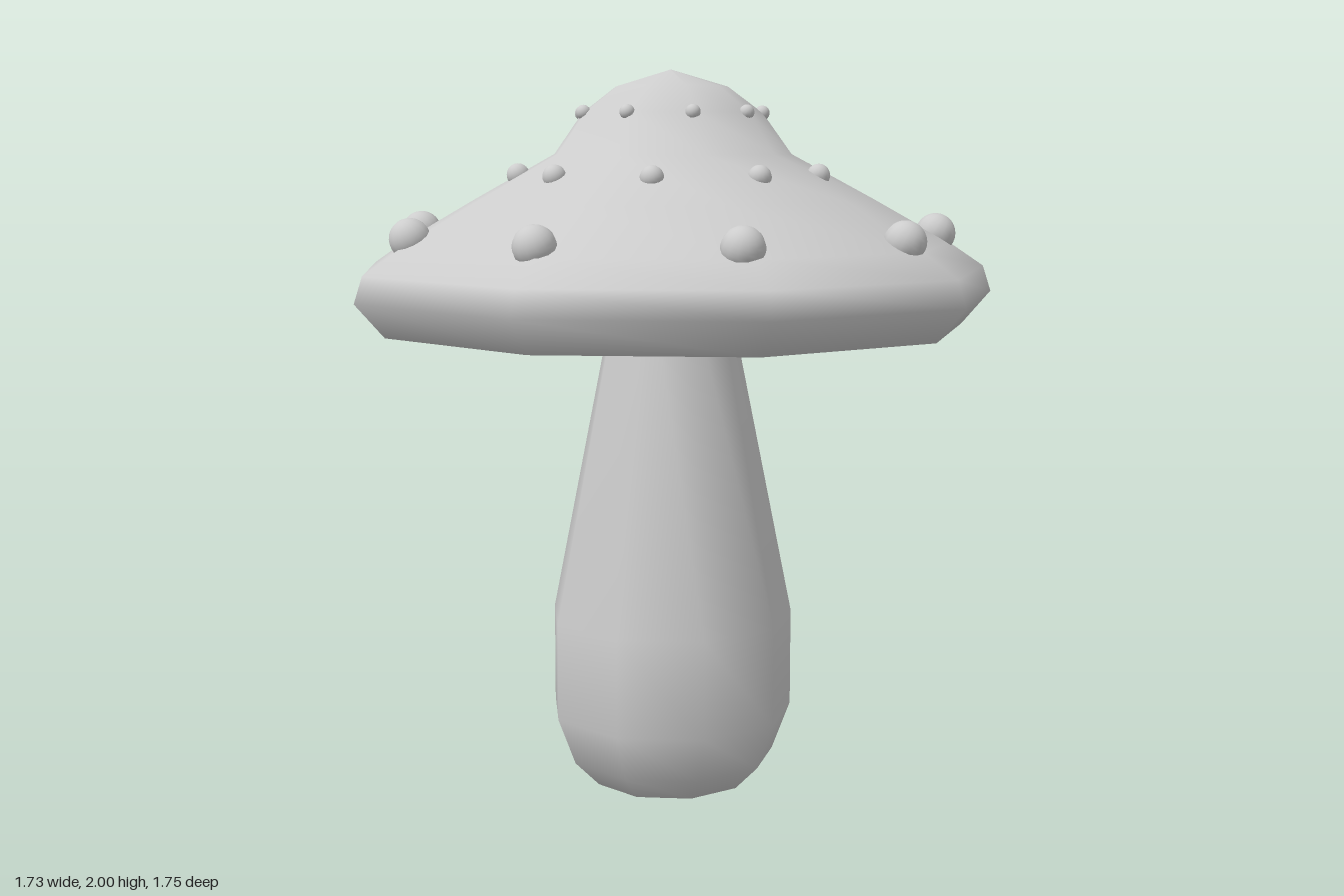
import * as THREE from 'three';

const SIDES = 9;
const PHASE = THREE.MathUtils.degToRad(71.5);
const CENTRE_X = 0.02;

// Nine-sided smooth shell turned from [radius, height] pairs
function turned(name, profile, material) {
  const points = profile.map(([r, y]) => new THREE.Vector2(r, y));
  const mesh = new THREE.Mesh(new THREE.LatheGeometry(points, SIDES, PHASE), material);
  mesh.name = name;
  mesh.position.x = CENTRE_X;
  return mesh;
}

// Ring of domes sitting on the cap, tilted outward by the local slope
function spotRing(name, { ring, y, size, tilt, start }, material) {
  const group = new THREE.Group();
  group.name = name;
  group.position.x = CENTRE_X;
  const dome = new THREE.SphereGeometry(size, 14, 8, 0, Math.PI * 2, 0, Math.PI * 0.55);
  const up = new THREE.Vector3(0, 1, 0);
  for (let i = 0; i < SIDES; i++) {
    const a = start + (i / SIDES) * Math.PI * 2;
    const normal = new THREE.Vector3(Math.cos(a) * Math.sin(tilt), Math.cos(tilt), Math.sin(a) * Math.sin(tilt));
    const spot = new THREE.Mesh(dome, material);
    spot.name = 'spot';
    spot.position.set(Math.cos(a) * ring, y, Math.sin(a) * ring - 0.005);
    spot.quaternion.setFromUnitVectors(up, normal);
    group.add(spot);
  }
  return group;
}

export function createModel() {
  const model = new THREE.Group();
  model.name = 'mushroom';
  const grey = new THREE.MeshStandardMaterial({ color: 0xcccccc, side: THREE.DoubleSide });
  grey.name = 'pale grey';

  // Stem: open tube with a rounded foot, reaching up inside the cap
  model.add(turned('stem', [
    [0.115, 0], [0.22, 0.035], [0.29, 0.105], [0.34, 0.235], [0.34, 0.505], [0.143, 1.48],
  ], grey));

  // Cap: hollow shell with a turned-in lip
  model.add(turned('cap', [
    [0.65, 1.31], [0.81, 1.31], [0.89, 1.4], [0.867, 1.47], [0.77, 1.535],
    [0.56, 1.652], [0.33, 1.775], [0.25, 1.885], [0.155, 1.955], [0, 2],
  ], grey));

  // Three rings of spots, growing toward the rim
  model.add(spotRing('largeSpots', { ring: 0.73, y: 1.56, size: 0.055, tilt: 0.52, start: Math.PI }, grey));
  model.add(spotRing('mediumSpots', { ring: 0.41, y: 1.72, size: 0.031, tilt: 0.5, start: 0 }, grey));
  model.add(spotRing('smallSpots', { ring: 0.25, y: 1.885, size: 0.02, tilt: 0.8, start: Math.PI }, grey));

  return model;
}
